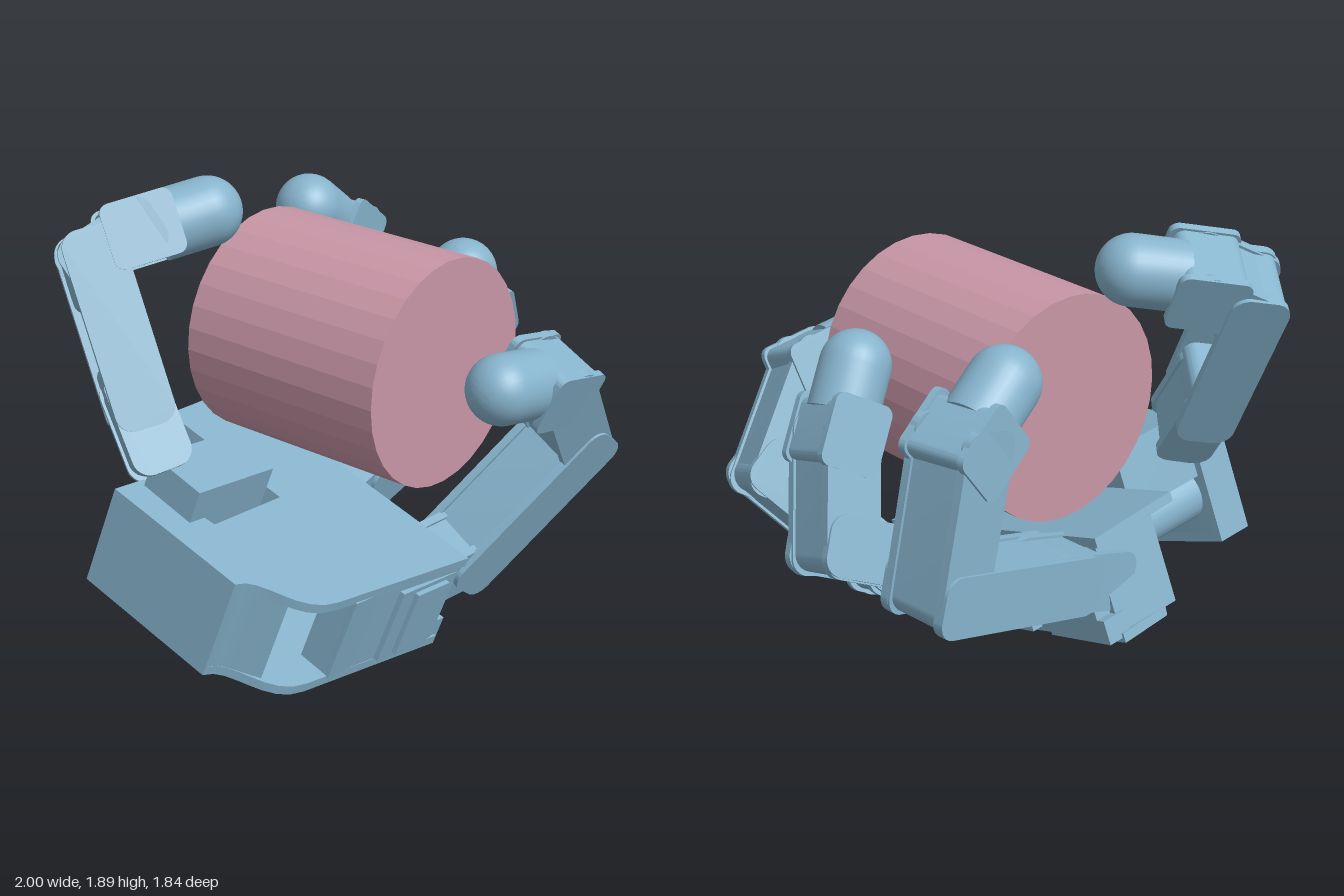
import * as THREE from 'three';
import { toCreasedNormals } from 'three/addons/utils/BufferGeometryUtils.js';

const blue = new THREE.MeshStandardMaterial({ color: 0x86b3cc });
const pink = new THREE.MeshStandardMaterial({ color: 0xc896a6, flatShading: true });
const V = (a) => new THREE.Vector3(...a);

function add(parent, name, geo, pos = [0, 0, 0], mat = blue) {
  const m = new THREE.Mesh(geo, mat);
  m.name = name;
  m.position.set(...pos);
  parent.add(m);
  return m;
}

// Flat outline pushed along z from z0
function slab(shape, depth, z0 = 0) {
  const g = new THREE.ExtrudeGeometry(shape, { depth, bevelEnabled: false, curveSegments: 8 });
  g.translate(0, 0, z0);
  return toCreasedNormals(g, 0.6);
}

// Rounded rectangle from x0 to x1, half height h, corner radius r
function roundRect(x0, x1, h, r) {
  const s = new THREE.Shape();
  s.moveTo(x0 + r, -h);
  s.lineTo(x1 - r, -h);
  s.absarc(x1 - r, -h + r, r, -Math.PI / 2, 0);
  s.lineTo(x1, h - r);
  s.absarc(x1 - r, h - r, r, 0, Math.PI / 2);
  s.lineTo(x0 + r, h);
  s.absarc(x0 + r, h - r, r, Math.PI / 2, Math.PI);
  s.lineTo(x0, -h + r);
  s.absarc(x0 + r, -h + r, r, Math.PI, Math.PI * 1.5);
  return s;
}

// Group at a, x towards b, z along the hinge axis
function frame(parent, name, a, b, axis) {
  const x = b.clone().sub(a).normalize();
  const y = axis.clone().cross(x).normalize();
  const z = x.clone().cross(y);
  const g = new THREE.Group();
  g.name = name;
  g.quaternion.setFromRotationMatrix(new THREE.Matrix4().makeBasis(x, y, z));
  g.position.copy(a);
  parent.add(g);
  return g;
}

// One phalanx: two cheek plates and a core between them
function link(parent, name, a, b, axis, w, open) {
  const g = frame(parent, name, a, b, axis);
  const L = a.distanceTo(b), h = 0.118, t = 0.035;
  for (const s of [-1, 1])
    add(g, 'cheekPlate', slab(roundRect(-h, L + h, h, 0.07), t, s * (w / 2 - t / 2) - t / 2));
  const inner = w - 2 * t;
  if (open) {
    add(g, 'lowerCore', slab(roundRect(-0.1, L * 0.28, 0.105, 0.05), inner, -inner / 2));
    add(g, 'upperCore', slab(roundRect(L * 0.66, L + 0.11, 0.105, 0.05), inner, -inner / 2));
  } else {
    add(g, 'core', slab(roundRect(-0.1, L + 0.1, 0.107, 0.07), inner, -inner / 2));
  }
}

// Last phalanx: a socket with a rim and a domed pad
function tip(parent, a, b, axis, w) {
  const g = frame(parent, 'fingertip', a, b, axis);
  const L = a.distanceTo(b), r = 0.14, end = L * 0.5;
  add(g, 'socket', slab(roundRect(-0.1, end, 0.12, 0.04), w * 0.86, -w * 0.43));
  for (const s of [-1, 1])
    add(g, 'socketRim', slab(roundRect(-0.11, end + 0.02, 0.13, 0.04), 0.03, s * (w / 2 - 0.015) - 0.015));
  const pts = [[0, 0], [r, 0], [r, L - end + 0.04]].map((p) => new THREE.Vector2(...p));
  for (let i = 1; i <= 12; i++) {
    const q = (i / 12) * Math.PI / 2;
    pts.push(new THREE.Vector2(r * Math.cos(q), L - end + 0.04 + r * Math.sin(q)));
  }
  const pad = add(g, 'pad', toCreasedNormals(new THREE.LatheGeometry(pts, 32), 0.6), [end - 0.04, 0, 0]);
  pad.rotation.z = -Math.PI / 2;
}

// Finger along joints: base, knuckle, elbow, last hinge, pad centre
function finger(parent, name, pts, w, open = false) {
  const g = new THREE.Group();
  g.name = name;
  parent.add(g);
  const [j0, j1, j2, j3, j4] = pts.map(V);
  const axis = open
    ? j2.clone().sub(j1).cross(j4.clone().sub(j3)).normalize()
    : j2.clone().sub(j1).cross(j3.clone().sub(j2)).normalize();
  link(g, 'baseLink', j0, j1, axis, w * 0.82);
  link(g, 'proximalLink', j1, j2, axis, w, open);
  link(g, 'middleLink', j2, j3, axis, w * 0.93);
  tip(g, j3, j4, axis, w * 0.96);
}

// Plate outline with a curved front corner and a notch for the thumb
function plateShape(backCorner) {
  const s = new THREE.Shape();
  s.moveTo(-1.02, 0.5);
  s.lineTo(-1.0, -0.15);
  s.bezierCurveTo(-0.86, -0.16, -0.9, -0.4, -0.69, -0.41);
  s.lineTo(0.07, -0.46);
  s.lineTo(0.025, 0.85);
  for (const p of backCorner) s.lineTo(...p);
  s.lineTo(-0.8, 0.16);
  s.lineTo(-0.86, 0.5);
  s.closePath();
  return s;
}

function makePalm(root) {
  // x along the fingers, y towards the back, z out of the palm
  const u = V([1, -0.125, 0]).normalize();
  const n = V([0.125, 1, 0.315]).normalize();
  const palm = new THREE.Group();
  palm.name = 'palm';
  palm.quaternion.setFromRotationMatrix(new THREE.Matrix4().makeBasis(u, n.clone().cross(u), n));
  palm.position.set(0, 0.14, 0);
  root.add(palm);

  add(palm, 'backPlate', slab(plateShape([[-0.22, 0.83], [-0.31, 0.72], [-0.37, 0.18]]), 0.04));
  add(palm, 'palmPlate', slab(plateShape([[-0.42, 0.81], [-0.4, 0.18]]), 0.04, 0.4));

  // Heel wall
  const wall = new THREE.Shape();
  wall.moveTo(-1.02, 0.5);
  wall.lineTo(-1.0, -0.15);
  wall.bezierCurveTo(-0.92, -0.16, -0.91, -0.22, -0.84, -0.3);
  wall.lineTo(-0.8, 0.16);
  wall.lineTo(-0.86, 0.5);
  wall.closePath();
  add(palm, 'heelWall', slab(wall, 0.36, 0.04));

  // Motor per finger: [centre, width, rear end]
  for (const [y, w, x0] of [[-0.35, 0.15, -0.58], [0.17, 0.3, -0.4], [0.6, 0.46, -0.28]])
    add(palm, 'fingerMotor', new THREE.BoxGeometry(0.02 - x0, w, 0.37), [(x0 + 0.02) / 2, y, 0.22]);

  // Stepped bracket at each knuckle: [centre, width]
  for (const [y, w] of [[-0.3, 0.3], [0.19, 0.34], [0.66, 0.36]])
    for (const [k, z] of [[1, 0.1], [0.78, 0.18], [0.5, 0.25]])
      add(palm, 'bracketStep', new THREE.BoxGeometry(0.11, w * k, z), [0.035, y, z / 2 + 0.02]);

  // Side cover and motor housing on the front edge
  const side = add(palm, 'sideCover', new THREE.BoxGeometry(0.62, 0.04, 0.37), [-0.27, -0.415, 0.22]);
  side.rotation.z = -0.06;
  add(palm, 'sideMotor', new THREE.BoxGeometry(0.34, 0.04, 0.34), [-0.14, -0.435, 0.21]);
  add(palm, 'sideMotorFace', new THREE.BoxGeometry(0.2, 0.04, 0.3), [-0.13, -0.455, 0.21]);

  // Thumb motor and turning base in the notch
  const drum = add(palm, 'thumbMotor', new THREE.CylinderGeometry(0.12, 0.12, 0.46, 24), [-0.6, 0.37, 0.23]);
  drum.rotation.z = Math.PI / 2;
  add(palm, 'thumbBase', new THREE.BoxGeometry(0.42, 0.26, 0.28), [-0.68, 0.34, 0.44]);
}

export function createModel() {
  const root = new THREE.Group();
  root.name = 'grippingHand';
  makePalm(root);

  finger(root, 'frontFinger',
    [[0.13, 0.31, 0.36], [0.29, 0.33, 0.4], [0.655, 0.78, 0.66], [0.39, 1.14, 0.74], [0.08, 1.2, 0.72]], 0.3);
  finger(root, 'middleFinger',
    [[0.1, 0.46, -0.15], [0.34, 0.54, -0.14], [0.86, 0.78, -0.04], [0.75, 1.14, 0.08], [0.59, 1.39, 0.15]], 0.3);
  finger(root, 'rearFinger',
    [[0.06, 0.62, -0.6], [0.27, 0.68, -0.61], [0.86, 0.83, -0.65], [0.74, 1.35, -0.64], [0.5, 1.53, -0.6]], 0.32);
  finger(root, 'thumb',
    [[-0.73, 0.94, -0.34], [-0.71, 1.1, -0.45], [-0.67, 1.6, -0.7], [-0.53, 1.68, -0.63], [-0.26, 1.74, -0.47]], 0.32, true);

  // Held cylinder
  const can = add(root, 'heldCylinder', new THREE.CylinderGeometry(0.457, 0.457, 0.925, 32), [0.015, 1.228, 0.043], pink);
  can.rotation.x = Math.PI / 2;
  return root;
}
